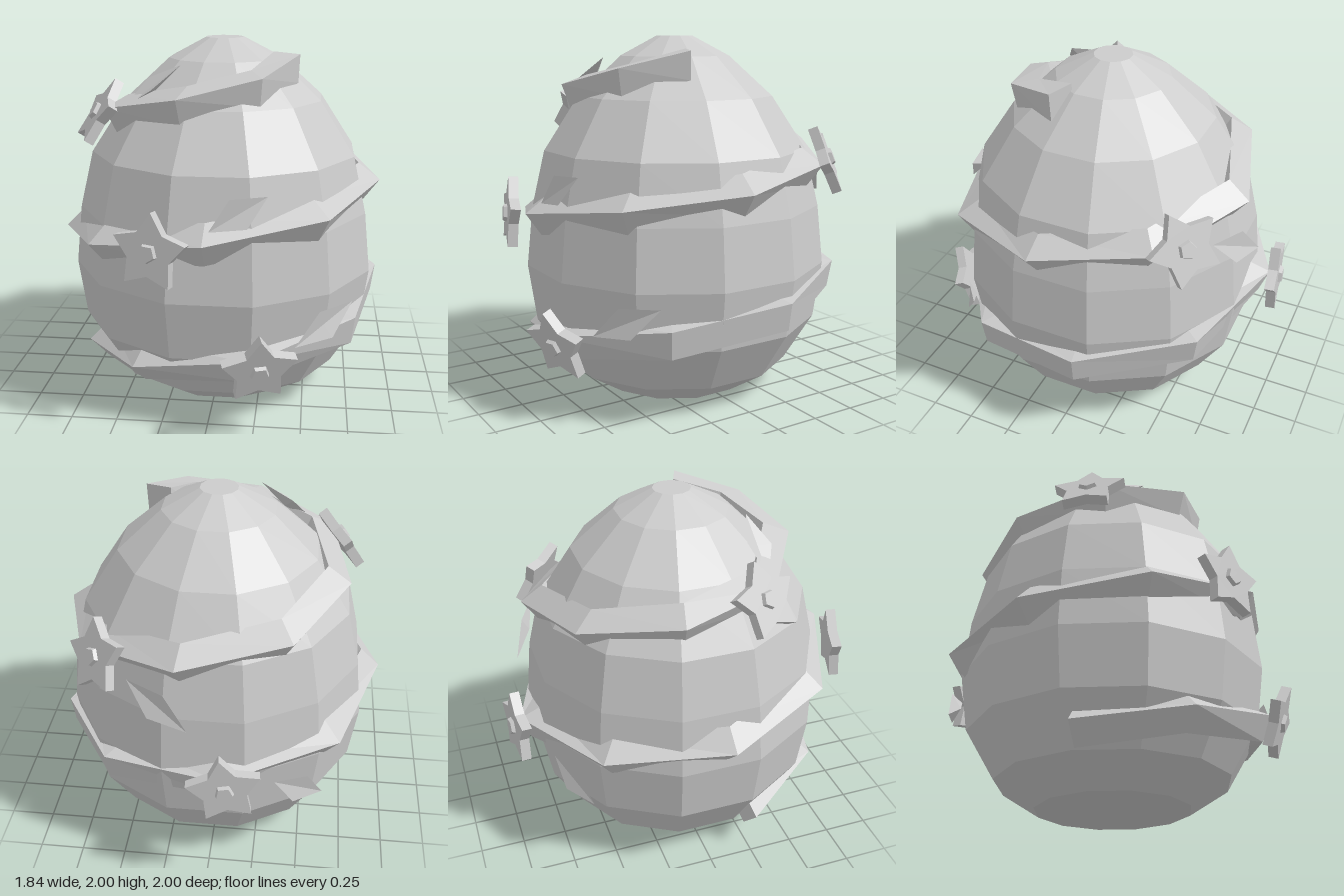
import * as THREE from 'three';

const rad = THREE.MathUtils.degToRad;

// Egg outline as [radius, height]
const PROFILE = [[0, 0], [0.435, 0], [0.66, 0.145], [0.82, 0.41], [0.865, 0.73], [0.83, 1.06],
  [0.755, 1.375], [0.56, 1.67], [0.315, 1.89], [0.105, 2], [0, 2]];
const CX = 0.02, CZ = 0.02;

function eggRadius(y) {
  for (let i = 2; i < PROFILE.length - 1; i++) {
    const [r0, y0] = PROFILE[i - 1], [r1, y1] = PROFILE[i];
    if (y <= y1) return r0 + (r1 - r0) * (y - y0) / (y1 - y0);
  }
  return 0;
}

function geometryFrom(positions, index) {
  const g = new THREE.BufferGeometry();
  g.setAttribute('position', new THREE.Float32BufferAttribute(positions, 3));
  g.setIndex(index);
  g.computeVertexNormals();
  return g;
}

// Square band climbing round the egg, twisting a little on the way
function vineGeometry() {
  const steps = 20, h = 0.077, pos = [], idx = [];
  const tilt = [43, 43, 25, 8, 8, 10, 20, 38, 45, 40, 35, 32, 37, 37, 37, 35, 32, 26, 20, 10, 3];
  const corners = [[h, h], [h, -h], [-h, -h], [-h, h]];
  for (let k = 0; k <= steps; k++) {
    const az = rad(-72 + 43.05 * k), y = 0.245 + 0.0803 * k;
    const t = rad(tilt[k]), c = Math.cos(t), s = Math.sin(t);
    const R = eggRadius(y) * 0.98 + (k > 16 ? 0.02 : 0);
    for (const [a, b] of corners) {
      const r = R + a * c + b * s;
      pos.push(CX + r * Math.sin(az), y - a * s + b * c, CZ + r * Math.cos(az));
    }
    if (k === steps) break;
    for (let j = 0; j < 4; j++) {
      const a = k * 4 + j, b = k * 4 + (j + 1) % 4;
      idx.push(a, b, b + 4, a, b + 4, a + 4);
    }
  }
  const e = steps * 4;
  idx.push(0, 2, 1, 0, 3, 2, e, e + 1, e + 2, e, e + 2, e + 3);
  return geometryFrom(pos, idx);
}

// Five-pointed blossom with a raised pentagon in the middle
function flowerGeometries() {
  const star = new THREE.Shape();
  for (let i = 0; i < 10; i++) {
    const r = i % 2 ? 0.12 : 0.205, a = Math.PI / 2 + i * Math.PI / 5;
    star[i ? 'lineTo' : 'moveTo'](r * Math.cos(a), r * Math.sin(a));
  }
  const petals = new THREE.ExtrudeGeometry(star, { depth: 0.055, bevelEnabled: false });
  petals.translate(0, 0, -0.045);
  const centre = new THREE.CylinderGeometry(0.045, 0.055, 0.025, 5);
  centre.rotateX(Math.PI / 2);
  centre.translate(0, 0, 0.018);
  return [petals, centre];
}

// Pointed leaf from base to tip, creased along its middle
function leafGeometry(base, tip, normal) {
  const b = new THREE.Vector3(...base), t = new THREE.Vector3(...tip);
  const along = t.clone().sub(b).normalize();
  const side = new THREE.Vector3(...normal).cross(along).normalize();
  const out = along.clone().cross(side);
  const mid = b.clone().lerp(t, 0.5);
  const at = (s, o) => mid.clone().addScaledVector(side, s).addScaledVector(out, o);
  const pts = [b, t, at(0.085, 0.02), at(-0.085, 0.02), at(0, 0), at(0, -0.03)];
  return geometryFrom(pts.flatMap(p => p.toArray()),
    [0, 4, 2, 4, 1, 2, 0, 3, 4, 3, 1, 4, 0, 2, 5, 2, 1, 5, 0, 5, 3, 5, 1, 3]);
}

export function createModel() {
  const group = new THREE.Group();
  const grey = new THREE.MeshStandardMaterial({ color: 0xcccccc, flatShading: true });
  grey.name = 'pale grey';
  const add = (parent, name, geometry) => {
    const mesh = new THREE.Mesh(geometry, grey);
    mesh.name = name;
    parent.add(mesh);
    return mesh;
  };

  // Twelve-sided egg
  const egg = add(group, 'egg', new THREE.LatheGeometry(
    PROFILE.map(([r, y]) => new THREE.Vector2(r, y)), 12, rad(15)));
  egg.position.set(CX, 0, CZ);

  add(group, 'vine', vineGeometry());

  // Flowers: centre, compass angle, upward tilt, roll
  const [petals, centre] = flowerGeometries();
  const flowers = [
    [[0.285, 0.41, 0.92], 17, -18, 2],
    [[-0.265, 1.03, 0.935], -16, 4, -3],
    [[-0.65, 1.615, 0.3], -67, 33, 0],
    [[-0.11, 0.75, -0.96], 187, 2, 8],
    [[0.6, 1.325, -0.64], 137, 22, 20],
  ];
  for (const [p, az, elevation, roll] of flowers) {
    const flower = new THREE.Group();
    flower.name = 'flower';
    flower.position.set(...p);
    flower.rotation.set(rad(-elevation), rad(az), rad(roll), 'YXZ');
    add(flower, 'petals', petals);
    add(flower, 'flowerCentre', centre);
    group.add(flower);
  }

  // Leaves: base, tip, facing direction
  const leaves = [
    [[0.46, 0.49, 0.79], [0.755, 0.67, 0.56], [0.55, 0.1, 0.85]],
    [[0.02, 1.12, 0.86], [0.31, 1.29, 0.78], [0.15, 0.25, 1]],
    [[-0.49, 1.65, 0.38], [-0.18, 1.88, 0.37], [-0.4, 0.85, 0.35]],
    [[-0.36, 0.68, -0.79], [-0.62, 0.5, -0.64], [-0.6, 0, -0.8]],
    [[0.42, 1.25, -0.72], [0.09, 1.06, -0.88], [0.35, 0.25, -0.9]],
  ];
  for (const leaf of leaves) add(group, 'leaf', leafGeometry(...leaf));

  return group;
}
